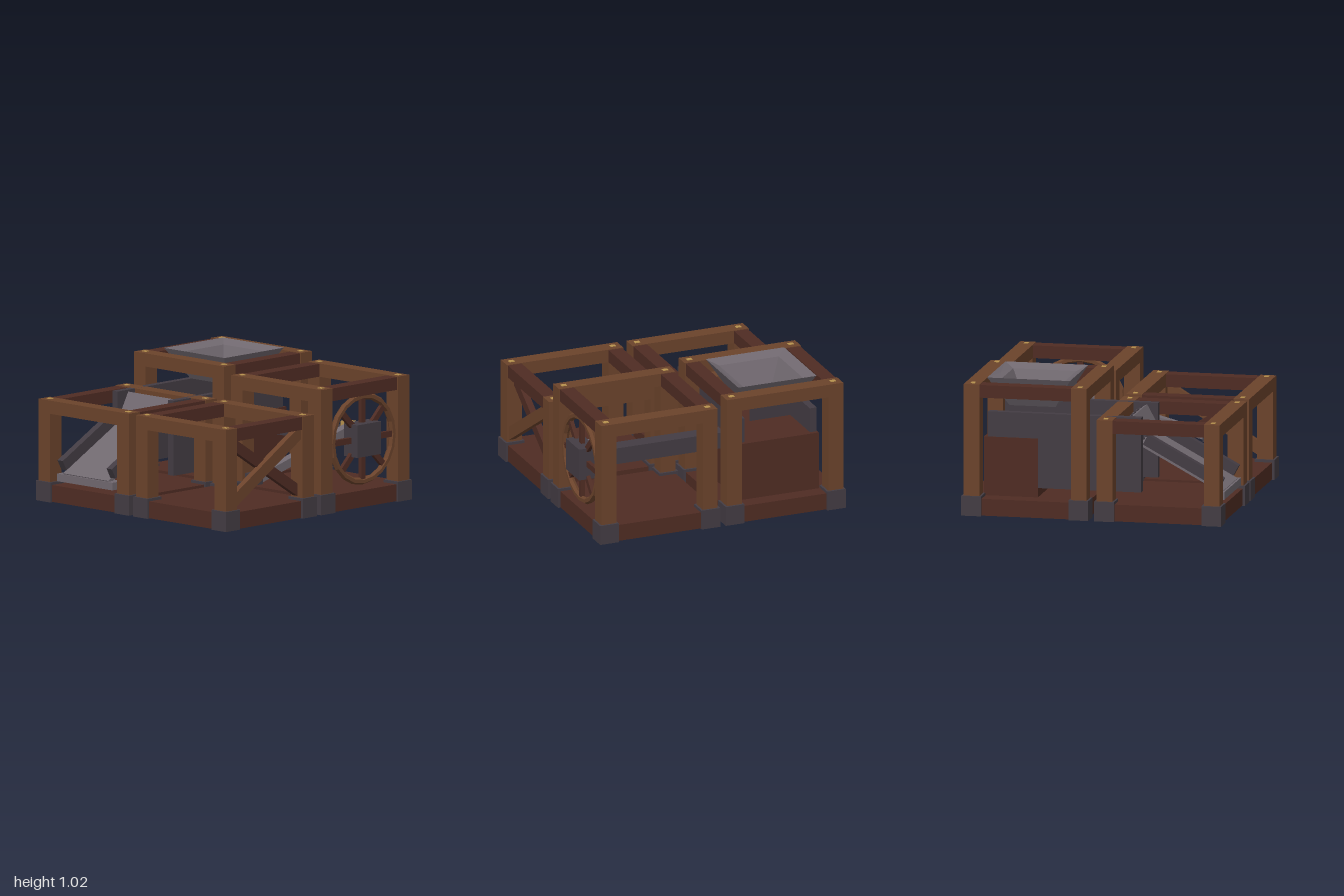
import * as THREE from 'three';

const mat = (name, color) => {
  const m = new THREE.MeshStandardMaterial({ color });
  m.name = name;
  return m;
};

export function createModel() {
  const wood = mat('oak wood', 0x6b432b);
  const darkWood = mat('dark wood', 0x4f2c23);
  const steel = mat('light steel', 0x70686f);
  const iron = mat('dark iron', 0x433c43);
  const brass = mat('brass', 0xb8924e);
  const model = new THREE.Group();
  model.name = 'millWorks';

  const add = (parent, name, geo, material) => {
    const m = new THREE.Mesh(geo, material);
    m.name = name;
    parent.add(m);
    return m;
  };
  // Box given by its lower and upper limits
  const box = (parent, name, material, x0, x1, y0, y1, z0, z1) => {
    const m = add(parent, name, new THREE.BoxGeometry(x1 - x0, y1 - y0, z1 - z0), material);
    m.position.set((x0 + x1) / 2, (y0 + y1) / 2, (z0 + z1) / 2);
    return m;
  };
  // Bar running in the z-y plane between two centre points
  const bar = (parent, name, material, x, width, thick, zA, yA, zB, yB) => {
    const geo = new THREE.BoxGeometry(width, thick, Math.hypot(zB - zA, yB - yA));
    const m = add(parent, name, geo, material);
    m.position.set(x, (yA + yB) / 2, (zA + zB) / 2);
    m.rotation.x = -Math.atan2(yB - yA, zB - zA);
    return m;
  };

  // Four timber frames, each with floor, posts, beams, iron feet and nails
  const frame = (name, cx, cz, h) => {
    const g = new THREE.Group();
    g.name = name;
    g.position.set(cx, 0, cz);
    model.add(g);
    box(g, 'floor', darkWood, -0.465, 0.465, 0.003, 0.13, -0.465, 0.465);
    for (const s of [-1, 1]) {
      box(g, 'crossBeam', wood, -0.468, 0.468, h - 0.1, h, s * 0.408 - 0.06, s * 0.408 + 0.06);
      box(g, 'sideBeam', darkWood, s * 0.405 - 0.055, s * 0.405 + 0.055, h - 0.1, h - 0.004, -0.35, 0.35);
      for (const t of [-1, 1]) {
        const x = s * 0.408, z = t * 0.408;
        box(g, 'post', wood, x - 0.06, x + 0.06, 0.13, h - 0.1, z - 0.06, z + 0.06);
        box(g, 'foot', iron, x - 0.075, x + 0.075, 0, 0.15, z - 0.075, z + 0.075);
        box(g, 'nail', brass, x - 0.021, x + 0.021, h - 0.01, h + 0.004, z - 0.017, z + 0.017);
      }
    }
  };
  frame('hopperFrame', -0.517, -0.505, 0.995);
  frame('wheelFrame', 0.493, -0.505, 0.94);
  frame('chuteFrame', -0.517, 0.507, 0.765);
  frame('bracedFrame', 0.493, 0.507, 0.765);

  // Hopper: one wedge of rim, funnel and outer wall, turned four times
  const hopper = new THREE.Group();
  hopper.name = 'hopper';
  hopper.position.set(-0.516, 0, -0.513);
  model.add(hopper);
  const A = [-0.315, 1.02, 0.315], B = [0.315, 1.02, 0.315], M = [0, 1.0, 0.28];
  const a = [-0.24, 0.985, 0.24], b = [0.24, 0.985, 0.24];
  const c = [-0.14, 0.79, 0.14], d = [0.14, 0.79, 0.14];
  const e = [-0.175, 0.79, 0.175], f = [0.175, 0.79, 0.175];
  const tris = [A, B, M, A, M, a, M, B, b, a, M, b, a, b, d, a, d, c,
    A, e, f, A, f, B, e, c, d, e, d, f];
  for (let i = 0; i < 4; i++) {
    const geo = new THREE.BufferGeometry();
    geo.setAttribute('position', new THREE.Float32BufferAttribute(tris.flat(), 3));
    geo.computeVertexNormals();
    add(hopper, 'hopperSide', geo, steel).rotation.y = i * Math.PI / 2;
  }

  // Crusher housing between the hopper and the chute
  box(model, 'millBox', darkWood, -0.84, -0.195, 0.13, 0.575, -0.85, -0.44);
  box(model, 'rightPanel', iron, -0.835, -0.78, 0.2, 0.765, -0.82, 0.345);
  box(model, 'leftPanel', iron, -0.255, -0.2, 0.2, 0.765, -0.82, 0.345);

  // Chute with rails and lip
  bar(model, 'chute', steel, -0.516, 0.47, 0.03, 0.2, 0.62, 0.95, 0.215);
  for (const x of [-0.772, -0.262]) {
    bar(model, 'chuteRail', iron, x, 0.055, 0.085, 0.37, 0.595, 0.945, 0.285);
  }
  box(model, 'chuteLip', steel, -0.8, -0.225, 0.165, 0.222, 0.86, 0.97);

  // Toothed crusher head
  const head = new THREE.Group();
  head.name = 'crusherHead';
  head.position.set(-0.516, 0.675, 0.26);
  head.rotation.x = -0.5;
  model.add(head);
  box(head, 'headBlock', steel, -0.23, 0.23, -0.07, 0.07, -0.048, 0.048);
  for (let i = 0; i < 4; i++) {
    const x = -0.155 + i * 0.111;
    box(head, 'tooth', iron, x - 0.026, x + 0.026, -0.125, 0.078, -0.016, 0.016);
  }

  // Drive shaft, brass coupling, and arm with its weight
  box(model, 'driveShaft', iron, -0.22, 0.755, 0.45, 0.575, -0.575, -0.452);
  box(model, 'coupling', brass, 0.74, 0.842, 0.55, 0.628, -0.553, -0.47);
  bar(model, 'arm', steel, 0.804, 0.07, 0.065, -0.5, 0.58, 0.5, 0.315);
  box(model, 'armWeight', iron, 0.752, 0.842, 0.28, 0.365, 0.46, 0.56);

  // Wheel on the side
  const wheel = new THREE.Group();
  wheel.name = 'wheel';
  wheel.position.set(0.925, 0.513, -0.508);
  model.add(wheel);
  const rimMat = wood;
  const rim = add(wheel, 'wheelRim', new THREE.TorusGeometry(0.322, 0.026, 6, 20).toNonIndexed(), rimMat);
  rim.geometry.computeVertexNormals();
  rim.rotation.y = Math.PI / 2;
  for (let i = 0; i < 4; i++) {
    const spoke = add(wheel, 'spokePair', new THREE.BoxGeometry(0.03, 0.62, 0.045), darkWood);
    spoke.rotation.x = i * Math.PI / 4;
  }
  box(wheel, 'hub', iron, -0.065, 0.075, -0.123, 0.123, -0.127, 0.127);

  // Crossed braces on the side of the low frame
  bar(model, 'outerBrace', wood, 0.92, 0.05, 0.09, 0.885, 0.2, 0.13, 0.665);
  bar(model, 'innerBrace', darkWood, 0.88, 0.05, 0.08, 0.885, 0.665, 0.13, 0.19);

  return model;
}
